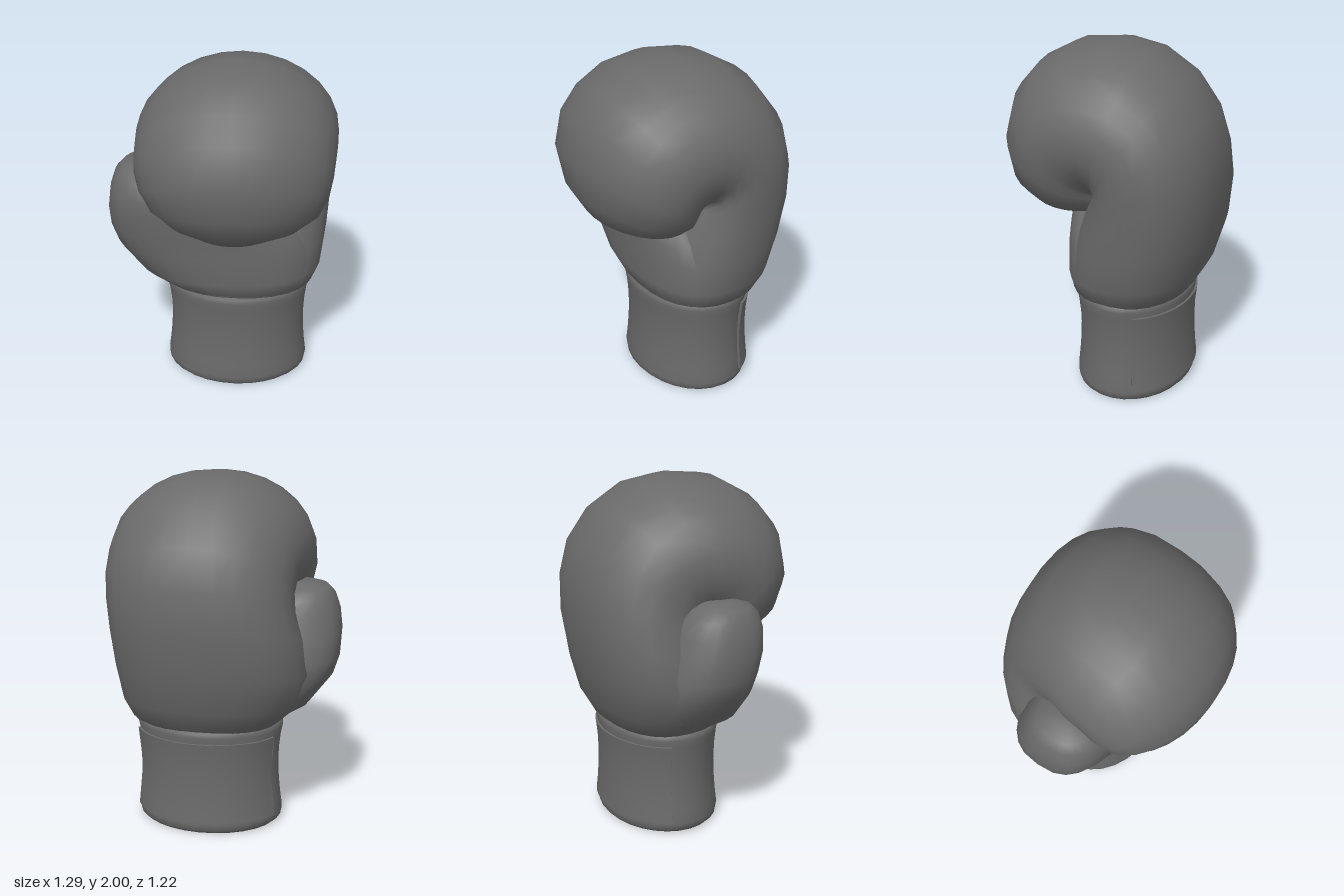
import * as THREE from 'three';

const SIDES = 28;
const material = new THREE.MeshStandardMaterial({ color: 0x6a6a6a, side: THREE.DoubleSide });

// Skin a list of closed cross-sections and close both ends with a fan.
function loft(name, rings) {
  const n = rings[0].length;
  const points = rings.flat();
  const index = [];
  for (let i = 0; i < rings.length - 1; i++) {
    for (let j = 0; j < n; j++) {
      const k = (j + 1) % n;
      const a = i * n + j, b = i * n + k, c = b + n, d = a + n;
      index.push(a, b, c, a, c, d);
    }
  }
  const cap = (ring, start, flip) => {
    const centre = ring.reduce((s, p) => s.add(p), new THREE.Vector3()).divideScalar(n);
    const m = points.push(centre) - 1;
    for (let j = 0; j < n; j++) {
      const a = start + j, b = start + (j + 1) % n;
      index.push(m, flip ? b : a, flip ? a : b);
    }
  };
  cap(rings[0], 0, true);
  cap(rings[rings.length - 1], (rings.length - 1) * n, false);
  const geometry = new THREE.BufferGeometry().setFromPoints(points);
  geometry.setIndex(index);
  geometry.computeVertexNormals();
  const mesh = new THREE.Mesh(geometry, material);
  mesh.name = name;
  return mesh;
}

// Unit superellipse: power 2 is round, higher is boxier.
function oval(angle, power) {
  const f = (v) => Math.sign(v) * Math.abs(v) ** (2 / power);
  return [f(Math.cos(angle)), f(Math.sin(angle))];
}

const around = (fn) => Array.from({ length: SIDES }, (_, j) => fn((j / SIDES) * Math.PI * 2));

// Padded hand: sections fan around the finger crease, from wrist to fingertips.
// [outer z, outer y, inner z, inner y, min x, max x, power]
function makeMitt() {
  const sections = [
    [-0.40, 0.59, 0.17, 0.59, -0.30, 0.47, 2.2],
    [-0.45, 0.63, 0.22, 0.63, -0.34, 0.53, 2.3],
    [-0.52, 0.75, 0.235, 0.72, -0.45, 0.575, 2.35],
    [-0.58, 0.97, 0.21, 0.88, -0.51, 0.60, 2.35],
    [-0.61, 1.22, 0.15, 1.02, -0.47, 0.615, 2.35],
    [-0.60, 1.45, 0.11, 1.10, -0.42, 0.63, 2.25],
    [-0.54, 1.66, 0.08, 1.14, -0.41, 0.64, 2.15],
    [-0.40, 1.85, 0.05, 1.15, -0.42, 0.64, 2.05],
    [-0.20, 1.97, 0.03, 1.15, -0.44, 0.64, 2],
    [0.02, 2.00, 0.01, 1.15, -0.465, 0.635, 2],
    [0.25, 1.97, -0.01, 1.15, -0.47, 0.63, 2],
    [0.43, 1.87, -0.02, 1.15, -0.47, 0.62, 2],
    [0.55, 1.73, -0.03, 1.15, -0.465, 0.61, 2],
    [0.61, 1.52, -0.04, 1.15, -0.44, 0.59, 2],
    [0.585, 1.31, -0.04, 1.13, -0.38, 0.545, 2],
    [0.50, 1.16, -0.03, 1.085, -0.28, 0.44, 2],
    [0.38, 1.06, 0.02, 1.055, -0.15, 0.29, 2],
  ];
  return loft('mitt', sections.map(([oz, oy, iz, iy, x0, x1, power]) => around((a) => {
    const [c, s] = oval(a, power);
    return new THREE.Vector3(
      (x0 + x1) / 2 + c * (x1 - x0) / 2,
      (oy + iy) / 2 + s * (oy - iy) / 2,
      (oz + iz) / 2 + s * (oz - iz) / 2);
  })));
}

// Thumb and palm pad: horizontal sections rising from the wrist.
// [y, min x, max x, back z, front z, power]
function makeThumb() {
  const sections = [
    [0.60, -0.28, 0.46, -0.30, 0.17, 2.2],
    [0.64, -0.35, 0.51, -0.36, 0.225, 2.3],
    [0.72, -0.48, 0.54, -0.39, 0.245, 2.4],
    [0.89, -0.61, 0.52, -0.38, 0.25, 2.6],
    [1.00, -0.645, 0.46, -0.36, 0.255, 2.7],
    [1.13, -0.65, 0.34, -0.31, 0.27, 2.7],
    [1.24, -0.635, 0.12, -0.27, 0.265, 2.5],
    [1.33, -0.605, -0.12, -0.22, 0.225, 2.3],
    [1.375, -0.565, -0.26, -0.16, 0.165, 2.2],
    [1.40, -0.49, -0.36, -0.09, 0.08, 2.2],
  ];
  return loft('thumb', sections.map(([y, x0, x1, z0, z1, power]) => around((a) => {
    const [c, s] = oval(a, power);
    return new THREE.Vector3(
      (x0 + x1) / 2 + c * (x1 - x0) / 2, y,
      (z0 + z1) / 2 - s * (z1 - z0) / 2);
  })));
}

// Point on the cuff's oval at a given angle, scale, height and outward offset.
function cuffPoint(angle, scale, y, offset = 0) {
  return new THREE.Vector3(
    0.085 + Math.cos(angle) * (0.42 * scale + offset), y,
    -0.11 - Math.sin(angle) * (0.33 * scale + offset));
}

// Waisted outer wall of the cuff: [scale, y]
const cuffWall = [
  [0.985, 0.025], [1, 0.06], [0.975, 0.14], [0.955, 0.23], [0.945, 0.33],
  [0.955, 0.44], [0.98, 0.53], [1.005, 0.58], [0.99, 0.605],
];

function wallScale(y) {
  let i = 1;
  while (i < cuffWall.length - 1 && cuffWall[i][1] < y) i++;
  const [s0, y0] = cuffWall[i - 1], [s1, y1] = cuffWall[i];
  return THREE.MathUtils.lerp(s0, s1, (y - y0) / (y1 - y0));
}

// Cuff: hollow sleeve with a rolled lower rim and a hand opening.
function makeCuff() {
  const profile = [
    [0.60, 0.55], [0.60, 0.14], [0.64, 0.06], [0.73, 0.02], [0.82, 0.004], [0.93, 0.004],
    ...cuffWall, [0.95, 0.62], [0.84, 0.62],
  ];
  return loft('cuff', profile.map(([scale, y]) => around((a) => cuffPoint(a, scale, y))));
}

// Closure strap: thin band wrapped round the back of the cuff.
function makeStrap() {
  const start = 0.38, end = Math.PI - 0.38, steps = 20;
  const heights = [0.075, 0.14, 0.23, 0.33, 0.44, 0.50, 0.545];
  const rings = [];
  for (let i = 0; i <= steps; i++) {
    const a = THREE.MathUtils.lerp(start, end, i / steps);
    const inner = heights.map((y) => cuffPoint(a, wallScale(y), y, -0.015));
    const outer = heights.map((y) => cuffPoint(a, wallScale(y), y, 0.012));
    rings.push([...inner, ...outer.reverse()]);
  }
  const strap = loft('strap', rings);
  strap.geometry = creased(strap.geometry);
  return strap;
}

// Average normals of faces that share a corner and meet at under 40 degrees.
function creased(indexed) {
  const g = indexed.toNonIndexed();
  g.computeVertexNormals();
  const ids = indexed.index.array;
  const faceNormals = Array.from(ids, (_, i) => new THREE.Vector3().fromBufferAttribute(g.attributes.normal, i));
  const shared = new Map();
  ids.forEach((id, i) => shared.set(id, [...(shared.get(id) || []), i]));
  ids.forEach((id, i) => {
    const sum = new THREE.Vector3();
    for (const k of shared.get(id)) if (faceNormals[k].dot(faceNormals[i]) > 0.77) sum.add(faceNormals[k]);
    sum.normalize();
    g.attributes.normal.setXYZ(i, sum.x, sum.y, sum.z);
  });
  return g;
}

export function createModel() {
  const glove = new THREE.Group();
  glove.name = 'boxingGlove';
  glove.add(makeMitt(), makeThumb(), makeCuff(), makeStrap());
  return glove;
}
